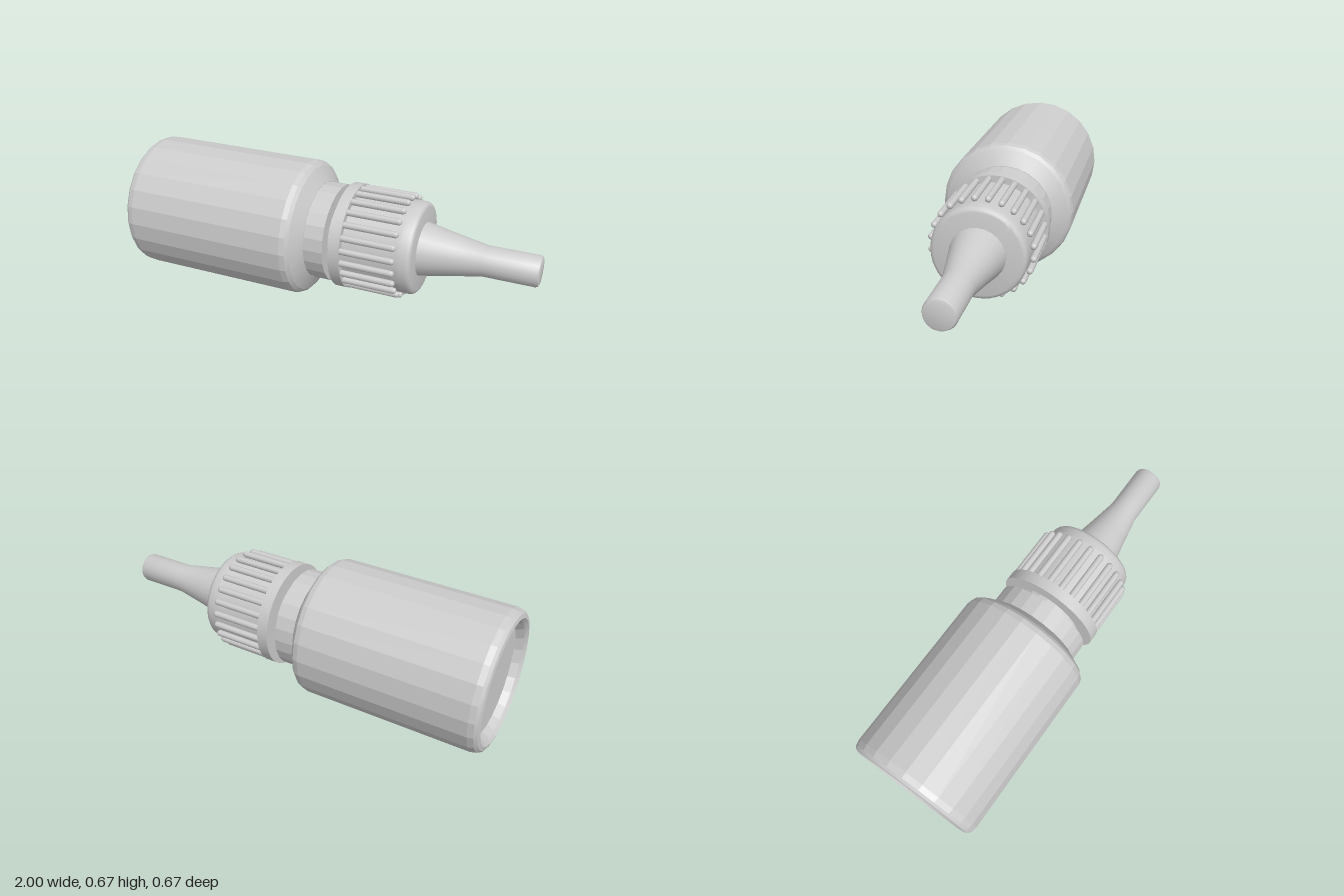
import * as THREE from 'three';
import { toCreasedNormals } from 'three/addons/utils/BufferGeometryUtils.js';

const AXIS_Y = 0.3345;

export function createModel() {
  const group = new THREE.Group();
  const plastic = new THREE.MeshStandardMaterial({ color: 0xcccccc });
  plastic.name = 'light grey plastic';

  // Turned part lying along x; profile holds [x, radius] pairs from -x to +x
  function turned(name, profile, sides, crease) {
    const pts = profile.map(([x, r]) => new THREE.Vector2(r, x));
    const geo = new THREE.LatheGeometry(pts, sides).rotateZ(-Math.PI / 2);
    const mesh = new THREE.Mesh(toCreasedNormals(geo, crease), plastic);
    mesh.name = name;
    mesh.position.y = AXIS_Y;
    group.add(mesh);
  }

  // Faceted bottle with a recessed base and sloping shoulder
  turned('bottleBody', [
    [-0.95, 0], [-0.95, 0.26], [-0.985, 0.278], [-1, 0.295],
    [-0.995, 0.315], [-0.982, 0.327], [-0.955, 0.3335],
    [-0.14, 0.3335], [-0.115, 0.327], [-0.1, 0.312], [-0.06, 0.24], [-0.06, 0],
  ], 24, 0.2);

  // Neck ring and the narrower throat under the cap
  turned('neckRing', [[-0.07, 0], [-0.07, 0.238], [0.037, 0.238], [0.037, 0]], 24, 0.2);
  turned('throat', [[0.03, 0], [0.03, 0.175], [0.08, 0.175], [0.08, 0]], 24, 0.2);

  // Cap: flange, grip core and rounded collar
  turned('capFlange', [[0.073, 0], [0.073, 0.255], [0.127, 0.255], [0.127, 0]], 48, 0.6);
  turned('capCore', [[0.12, 0], [0.12, 0.222], [0.4, 0.222], [0.4, 0]], 48, 0.6);
  turned('capCollar', [
    [0.385, 0], [0.385, 0.222], [0.432, 0.222], [0.444, 0.218],
    [0.452, 0.211], [0.455, 0.2], [0.455, 0],
  ], 48, 0.6);

  // Ring of rounded grip ribs
  const ribs = new THREE.Group();
  ribs.name = 'gripRibs';
  ribs.position.y = AXIS_Y;
  const count = 24, ribRadius = 0.0155;
  const ribGeo = new THREE.CapsuleGeometry(ribRadius, 0.25, 4, 10).rotateZ(-Math.PI / 2);
  for (let i = 0; i < count; i++) {
    const a = ((i + 0.5) / count) * Math.PI * 2;
    const rib = new THREE.Mesh(ribGeo, plastic);
    rib.name = 'gripRib';
    rib.position.set(0.25, 0.237 * Math.cos(a), 0.237 * Math.sin(a));
    ribs.add(rib);
  }
  group.add(ribs);

  // Tapered nozzle with a rounded tip
  turned('nozzle', [
    [0.44, 0], [0.44, 0.132], [0.455, 0.129], [0.6, 0.1], [0.75, 0.073],
    [0.985, 0.073], [0.996, 0.068], [1, 0.058], [1, 0],
  ], 24, 0.6);

  return group;
}
